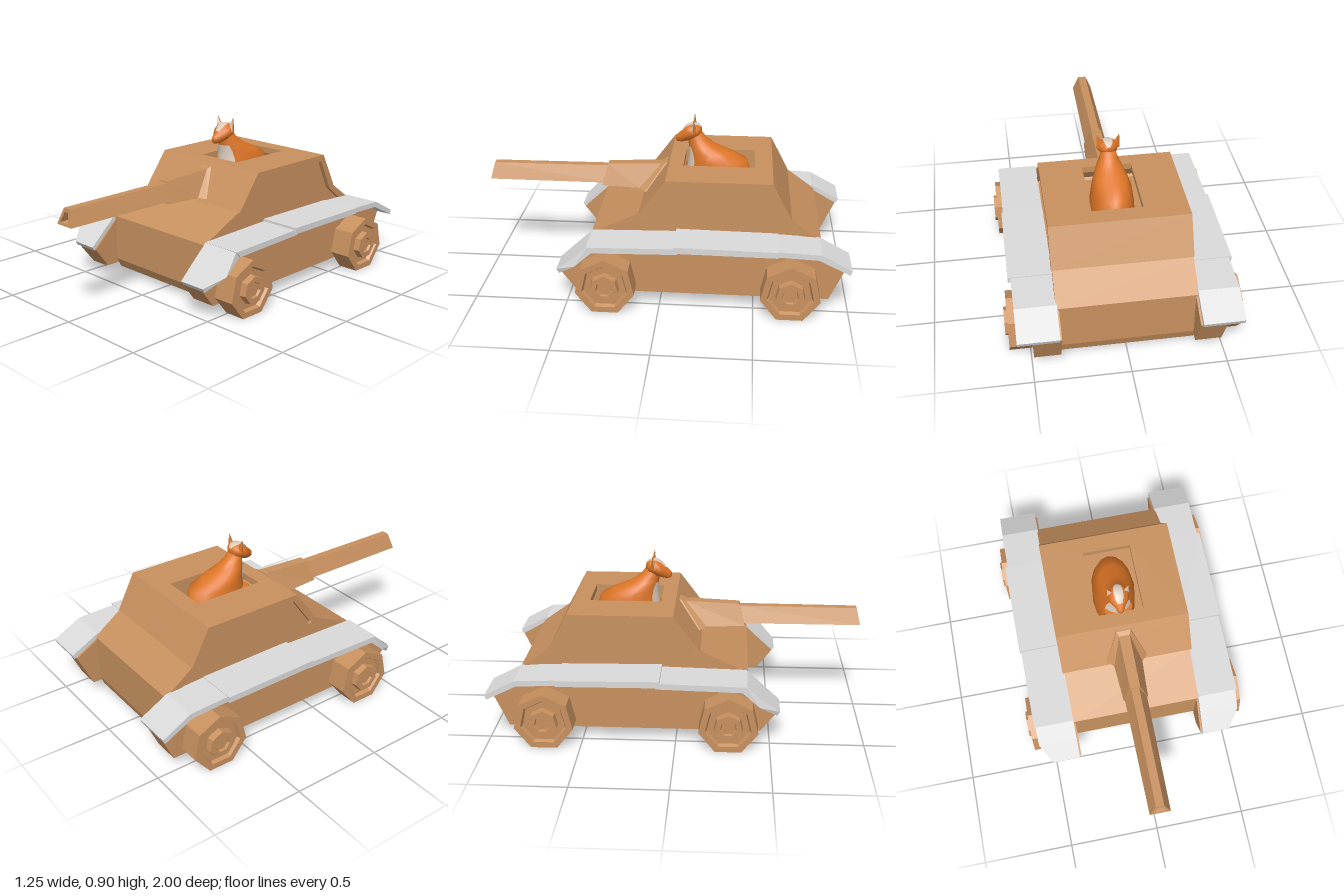
import * as THREE from 'three';

const mat = (name, color, extra = {}) => new THREE.MeshStandardMaterial({ name, color, ...extra });

export function createModel() {
  const model = new THREE.Group();
  const tan = mat('tanPlate', 0xc8915f, { flatShading: true });
  const grey = mat('greyFender', 0xdadada, { flatShading: true });
  const orange = mat('orangeFur', 0xdd7526);
  const pale = mat('paleFur', 0xdccdbd, { side: THREE.DoubleSide });

  const add = (name, geo, material, parent = model) => {
    const mesh = new THREE.Mesh(geo, material);
    mesh.name = name;
    parent.add(mesh);
    return mesh;
  };
  const flat = (geo) => {
    const g = geo.index ? geo.toNonIndexed() : geo;
    g.computeVertexNormals();
    return g;
  };

  // Side profile of [z, y] points, extruded across x
  const slab = (profile, x0, x1) => {
    const shape = new THREE.Shape(profile.map(([z, y]) => new THREE.Vector2(z, y)));
    return new THREE.ExtrudeGeometry(shape, { depth: x1 - x0, bevelEnabled: false })
      .rotateY(-Math.PI / 2).translate(x1, 0, 0);
  };
  // Same slab on the left (s = 1) or right (s = -1)
  const sideSlab = (profile, a, b, s) => slab(profile, Math.min(a * s, b * s), Math.max(a * s, b * s));

  // Skin over cross-sections with equal point counts
  const loft = (sections, closed = true) => {
    const n = sections[0].length, index = [];
    const cols = closed ? n : n - 1;
    for (let i = 0; i < sections.length - 1; i++) {
      for (let j = 0; j < cols; j++) {
        const a = i * n + j, b = i * n + (j + 1) % n;
        index.push(a, b, b + n, a, b + n, a + n);
      }
    }
    if (closed) {
      const e = (sections.length - 1) * n;
      for (let j = 1; j < n - 1; j++) index.push(0, j + 1, j, e, e + j, e + j + 1);
    }
    const g = new THREE.BufferGeometry();
    g.setAttribute('position', new THREE.Float32BufferAttribute(sections.flat(2), 3));
    g.setIndex(index);
    g.computeVertexNormals();
    return g;
  };

  // Hull
  add('hull', slab([[0.35, 0.035], [0.38, 0.09], [0.38, 0.345], [-0.85, 0.345], [-0.85, 0.09], [-0.83, 0.035]], -0.355, 0.355), tan);

  // Hollow superstructure: sloped plates, roof with hatch, recessed sides
  add('frontGlacis', slab([[0.38, 0.345], [0.12, 0.468], [0.08, 0.44], [0.28, 0.345]], -0.36, 0.36), tan);
  add('frontPlate', slab([[0.125, 0.465], [-0.02, 0.66], [-0.04, 0.625], [0.075, 0.465]], -0.37, 0.37), tan);
  add('rearPlate', slab([[-0.585, 0.66], [-0.69, 0.46], [-0.65, 0.45], [-0.565, 0.625]], -0.37, 0.37), tan);
  add('rearGlacis', slab([[-0.69, 0.46], [-0.85, 0.345], [-0.78, 0.345], [-0.65, 0.45]], -0.365, 0.365), tan);

  const rect = (P, x, y0, y1) => new P([[-x, y0], [x, y0], [x, y1], [-x, y1]].map((p) => new THREE.Vector2(...p)));
  const roof = rect(THREE.Shape, 0.37, 0.02, 0.585);
  roof.holes.push(rect(THREE.Path, 0.135, 0.1, 0.49));
  add('roof', new THREE.ExtrudeGeometry(roof, { depth: 0.035, bevelEnabled: false })
    .rotateX(-Math.PI / 2).translate(0, 0.625, 0), tan);

  // Fender panels, stepped where they overlap
  const fenderPanels = [
    { x: 0.575, p: [[0.55, 0.195], [0.46, 0.28], [0.37, 0.362], [0.34, 0.335], [0.44, 0.245], [0.535, 0.172]] },
    { x: 0.582, p: [[0.375, 0.362], [-0.1, 0.372], [-0.1, 0.34], [0.345, 0.33]] },
    { x: 0.59, p: [[-0.08, 0.385], [-0.62, 0.378], [-0.62, 0.345], [-0.08, 0.35]] },
    { x: 0.575, p: [[-0.6, 0.375], [-0.84, 0.365], [-1.0, 0.28], [-0.99, 0.255], [-0.83, 0.335], [-0.6, 0.345]] },
  ];
  const podProfile = [[0.45, 0.068], [0.535, 0.18], [0.36, 0.345], [-0.83, 0.345], [-0.98, 0.258], [-0.895, 0.068]];
  const panelProfile = [[0.33, 0.34], [0.1, 0.45], [-0.03, 0.64], [-0.575, 0.64], [-0.67, 0.45], [-0.8, 0.34]];

  // Wheel: seven-sided tyre with recessed face and raised hub, axle along x
  const wheelProfile = [[0, 0], [0.16, 0], [0.16, 0.12], [0.125, 0.12], [0.115, 0.1], [0.08, 0.1],
    [0.075, 0.135], [0.045, 0.135], [0.04, 0.122], [0, 0.122]].map((p) => new THREE.Vector2(...p));
  const wheelGeo = flat(new THREE.LatheGeometry(wheelProfile, 7, -Math.PI / 2).rotateZ(-Math.PI / 2));

  for (const s of [1, -1]) {
    const side = s > 0 ? 'left' : 'right';
    add(side + 'SidePanel', sideSlab(panelProfile, 0.33, 0.345, s), tan);
    add(side + 'Pod', sideSlab(podProfile, 0.35, 0.49, s), tan);
    fenderPanels.forEach(({ x, p }, i) => {
      const g = sideSlab(p, 0.36, x, s);
      const pos = g.attributes.position;
      // Cut the outer corner of the front tip
      for (let k = 0; k < pos.count; k++) {
        if (pos.getZ(k) > 0.5 && Math.abs(pos.getX(k)) > 0.5) pos.setX(k, 0.515 * s);
      }
      add(side + 'Fender' + (i + 1), flat(g), grey);
    });
    for (const z of [0.28, -0.69]) {
      const wheel = add(side + (z > 0 ? 'Front' : 'Rear') + 'Wheel', wheelGeo, tan);
      wheel.position.set(0.49 * s, 0.144, z);
      if (s < 0) wheel.rotation.y = Math.PI;
    }
  }

  // Gun: trapezoid sections (bottom z, top z, bottom half width, bottom y, top half width, top y)
  const trap = ([zb, zt, hb, yb, ht, yt]) => [[-hb, yb, zb], [hb, yb, zb], [ht, yt, zt], [-ht, yt, zt]];
  add('gunMantlet', flat(loft([
    [0.09, -0.02, 0.115, 0.487, 0.042, 0.64], [0.115, 0.005, 0.112, 0.487, 0.04, 0.638],
    [0.15, 0.03, 0.08, 0.495, 0.03, 0.628], [0.36, 0.33, 0.068, 0.5, 0.028, 0.615]].map(trap))), tan);
  add('gunBarrel', flat(loft([
    [0.32, 0.32, 0.062, 0.513, 0.022, 0.603], [1.0, 0.98, 0.057, 0.513, 0.022, 0.6],
    [0.997, 0.983, 0.035, 0.526, 0.012, 0.58], [0.9, 0.9, 0.03, 0.53, 0.01, 0.575]].map(trap))), tan);

  // Fox sitting in the hatch
  const fox = new THREE.Group();
  fox.name = 'fox';
  model.add(fox);
  const arc = (n, from, to, f) => Array.from({ length: n }, (_, i) => f(from + (to - from) * i / n));
  const TAU = Math.PI * 2;

  // Body rings: y, centre z, half width, half depth
  const bodyRings = [[0.35, -0.29, 0.1, 0.17], [0.42, -0.29, 0.12, 0.195], [0.56, -0.295, 0.12, 0.185],
    [0.66, -0.285, 0.105, 0.16], [0.7, -0.245, 0.088, 0.12], [0.735, -0.2, 0.068, 0.08],
    [0.775, -0.17, 0.046, 0.052], [0.81, -0.155, 0.038, 0.04]];
  const bodyRing = (n, a0, a1, k) => ([y, z, rx, rz]) =>
    arc(n, a0, a1, (a) => [rx * k * Math.cos(a), y, z - rz * k * Math.sin(a)]);
  add('foxBody', loft(bodyRings.map(bodyRing(16, 0, TAU, 1))), orange, fox);
  add('foxChest', loft(bodyRings.slice(2, 6).map(bodyRing(9, Math.PI * 1.29, Math.PI * 1.77, 1.03)), false), pale, fox);

  // Head rings from nape to nose: z, y, half width, half height
  const headRings = [[-0.19, 0.82, 0.02, 0.02], [-0.172, 0.82, 0.048, 0.038], [-0.135, 0.815, 0.06, 0.047],
    [-0.105, 0.802, 0.05, 0.044], [-0.082, 0.785, 0.03, 0.034], [-0.058, 0.775, 0.018, 0.022], [-0.05, 0.775, 0.01, 0.012]];
  const headRing = (n, a0, a1, k) => ([z, y, rx, ry]) =>
    arc(n, a0, a1, (a) => [rx * k * Math.cos(a), y + ry * k * Math.sin(a), z]);
  add('foxHead', loft(headRings.map(headRing(12, 0, TAU, 1))), orange, fox);
  add('foxForehead', loft(headRings.slice(0, 5).map(headRing(8, Math.PI * 0.36, Math.PI * 0.68, 1.05)), false), pale, fox);

  for (const s of [1, -1]) {
    const side = s > 0 ? 'Left' : 'Right';
    const ear = new THREE.Group();
    ear.name = 'fox' + side + 'Ear';
    ear.position.set(0.05 * s, 0.858, -0.15);
    ear.rotation.z = -0.25 * s;
    fox.add(ear);
    add('earBack', new THREE.ConeGeometry(0.026, 0.08, 6).scale(1, 1, 0.5), orange, ear);
    add('earFront', new THREE.ConeGeometry(0.022, 0.072, 6).scale(1, 1, 0.5), pale, ear).position.set(0, -0.002, 0.004);
    add('fox' + side + 'FrontLeg', new THREE.CylinderGeometry(0.035, 0.03, 0.28, 10), orange, fox).position.set(0.045 * s, 0.48, -0.14);
  }
  return model;
}
